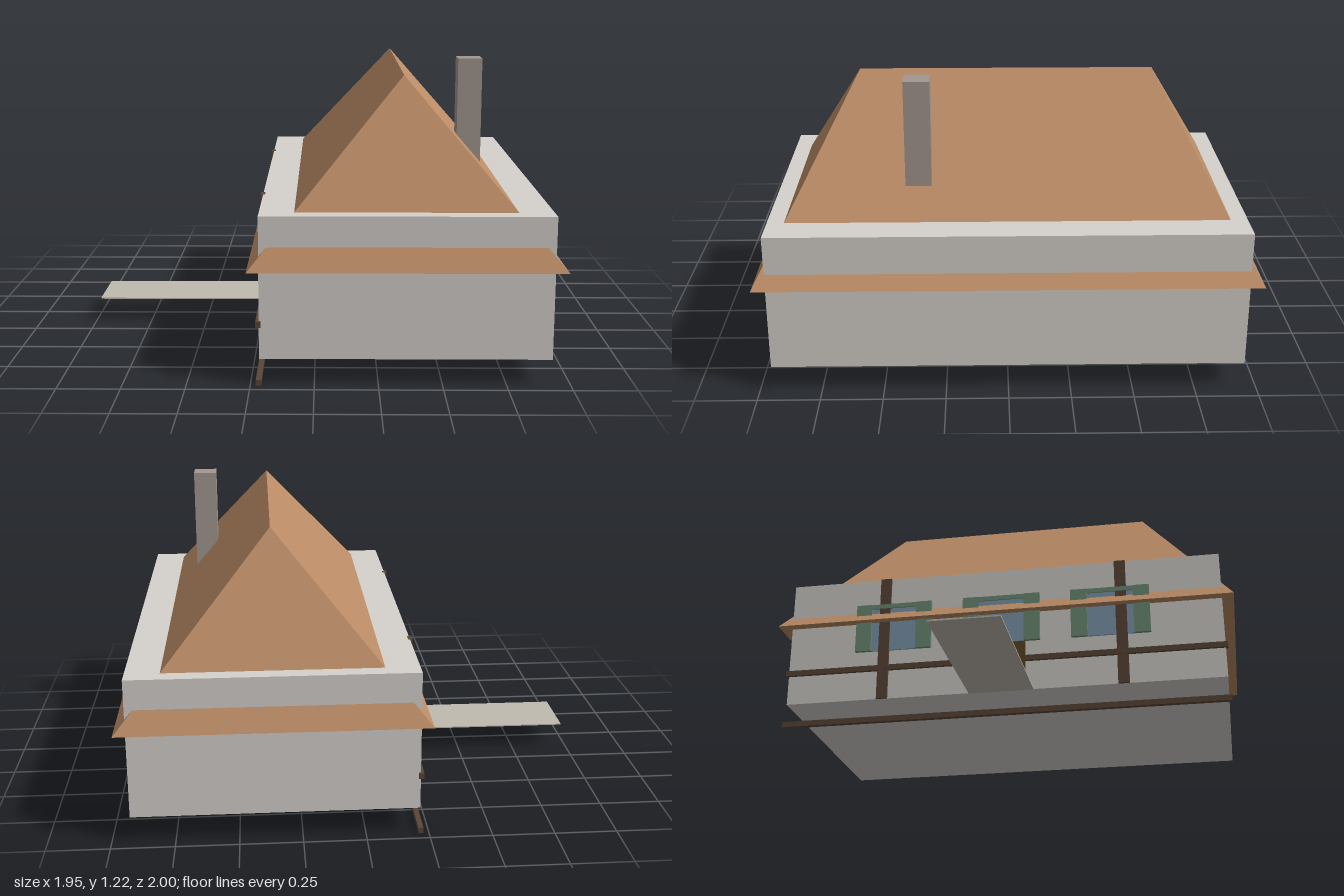
import * as THREE from 'three';

const mat = (color) => new THREE.MeshStandardMaterial({ color, flatShading: true });
const wallMat = mat(0xd6d2cd), roofMat = mat(0xbb8c66), chimneyMat = mat(0xa49891);
const timberMat = mat(0x5a4638), doorMat = mat(0x5c4522), pathMat = mat(0xc0bbaf);
const shutterMat = mat(0x6f8f78), glassMat = mat(0x7f9bb0);

// Box given by its extents along each axis
function block(name, material, [x0, x1], [y0, y1], [z0, z1]) {
  const mesh = new THREE.Mesh(new THREE.BoxGeometry(x1 - x0, y1 - y0, z1 - z0), material);
  mesh.position.set((x0 + x1) / 2, (y0 + y1) / 2, (z0 + z1) / 2);
  mesh.name = name;
  return mesh;
}

// Hipped roof: a box whose top is squeezed into a ridge along z
function hipRoof(width, height, length, ridge) {
  const geo = new THREE.BoxGeometry(width, height, length).toNonIndexed();
  const p = geo.attributes.position;
  for (let i = 0; i < p.count; i++) {
    if (p.getY(i) > 0) p.setXYZ(i, 0, height / 2, Math.sign(p.getZ(i)) * ridge / 2);
  }
  geo.computeVertexNormals();
  return geo;
}

// Window with a shutter on each side and a lintel, set on the -x wall
function shutteredWindow(z) {
  const g = new THREE.Group();
  g.name = 'window';
  g.add(block('glass', glassMat, [-0.222, -0.2], [0.33, 0.54], [z - 0.1, z + 0.1]));
  g.add(block('lintel', shutterMat, [-0.227, -0.2], [0.53, 0.55], [z - 0.1, z + 0.1]));
  for (const s of [-1, 1]) {
    const c = z + s * 0.135;
    g.add(block('shutter', shutterMat, [-0.23, -0.2], [0.33, 0.55], [c - 0.035, c + 0.035]));
  }
  return g;
}

export function createModel() {
  const house = new THREE.Group();
  house.name = 'house';

  // Walls, with the roof passing through them to leave eaves all round
  house.add(block('walls', wallMat, [-0.215, 0.925], [0.107, 0.675], [-0.95, 0.95]));
  const roof = new THREE.Mesh(hipRoof(1.23, 0.71, 2, 1.2), roofMat);
  roof.position.set(0.355, 0.82, 0);
  roof.name = 'roof';
  house.add(roof);
  house.add(block('chimney', chimneyMat, [0.59, 0.69], [0.7, 1.222], [0.302, 0.406]));

  // Timber rails and posts
  house.add(block('lowerRail', timberMat, [-0.228, -0.207], [0, 0.024], [-0.96, 0.96]));
  house.add(block('middleRail', timberMat, [-0.228, -0.207], [0.236, 0.26], [-0.96, 0.96]));
  for (const z of [-0.522, 0.522]) {
    house.add(block('post', timberMat, [-0.226, -0.207], [0.107, 0.675], [z - 0.024, z + 0.024]));
  }

  // Entrance side
  house.add(block('door', doorMat, [-0.23, -0.2], [0.107, 0.325], [-0.105, 0.105]));
  for (const z of [-0.48, 0, 0.475]) house.add(shutteredWindow(z));
  house.add(block('path', pathMat, [-0.975, -0.215], [0.105, 0.11], [-0.14, 0.14]));

  return house;
}
